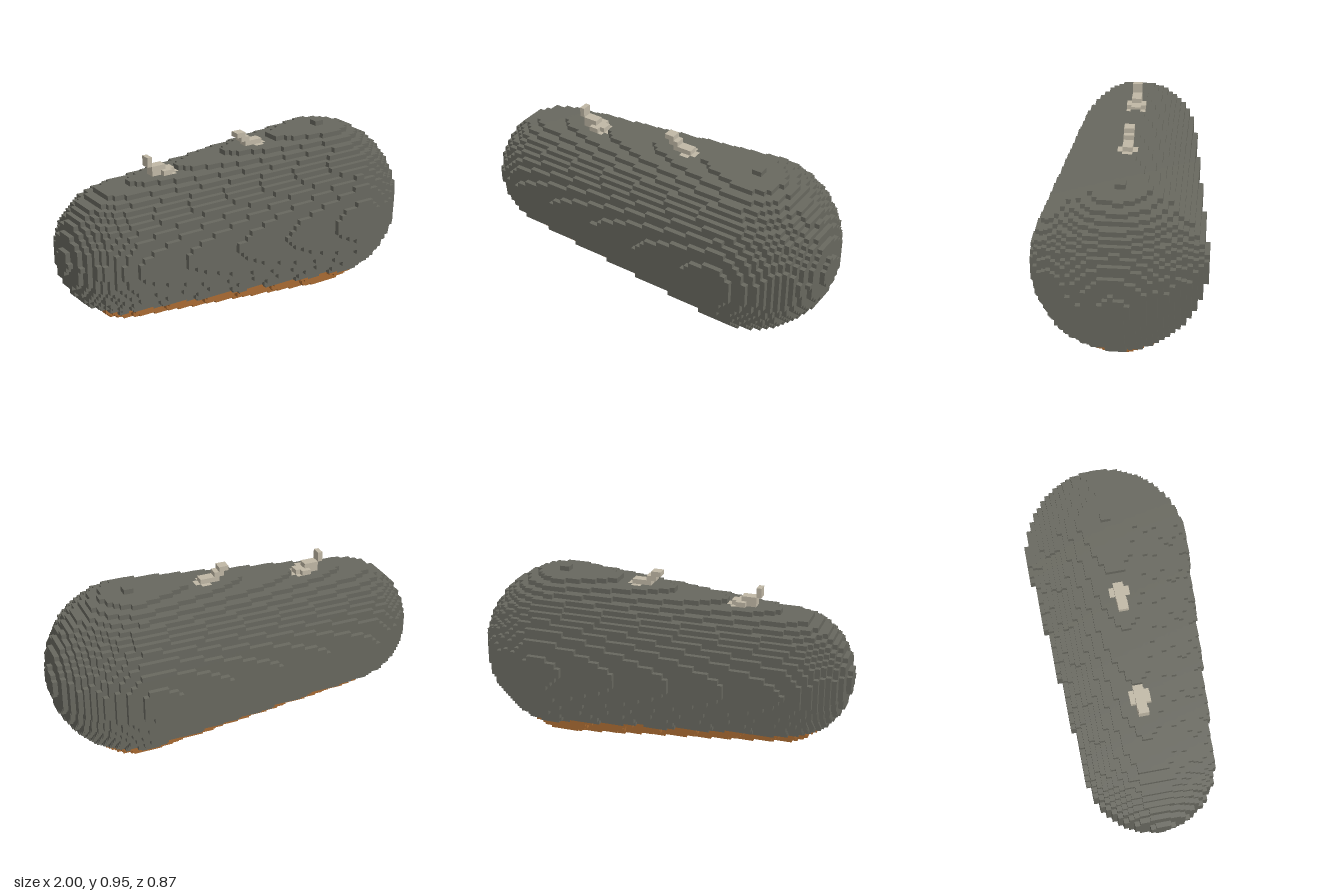
import * as THREE from 'three';

const NX = 78, NY = 37, NZ = 34, S = 2 / NX; // block grid and block size
const EMPTY = 0, HULL = 1, BELLY = 2, SPIKE = 3;

// Tapered capsule along x, with a belly that sags slightly downwards
const AXIS_Y = 0.476, AXIS_Z = 0.003;
const C0 = -0.667, R0 = 0.326, C1 = 0.559, R1 = 0.435;
const TAPER = (R1 - R0) / (C1 - C0);

function insideBody(x, y, z) {
  let dy = y - AXIS_Y;
  const axial = R0 + TAPER * (THREE.MathUtils.clamp(x, C0, C1) - C0);
  const sag = 0.85 * axial;
  if (-dy > sag) dy = -(sag + 0.55 * (-dy - sag));
  const d = Math.hypot(dy, z - AXIS_Z);
  const c = THREE.MathUtils.clamp(x + TAPER * d, C0, C1);
  return Math.hypot(x - c, d) < R0 + TAPER * (c - C0);
}

// Sloping, slightly ragged upper edge of the belly colour
const bellyLine = (x, z) => 0.165 - 0.05 * x + 0.012 * Math.sin(x * 25 + z * 34);

function buildBlocks() {
  const blocks = new Uint8Array(NX * NY * NZ);
  const index = (i, j, k) => (i * NY + j) * NZ + k;
  for (let i = 0; i < NX; i++)
    for (let j = 0; j < NY; j++)
      for (let k = 0; k < NZ; k++) {
        const x = (i + 0.5) * S - 1, y = (j + 0.5) * S, z = (k + 0.5 - NZ / 2) * S;
        if (insideBody(x, y, z)) blocks[index(i, j, k)] = y < bellyLine(x, z) ? BELLY : HULL;
      }
  // Back spikes as rows of blocks: first x, last x, first y, last y, half width
  const spikes = [
    [21, 25, 31, 31, 1], [22, 24, 31, 31, 2], [20, 24, 32, 32, 1], [22, 23, 32, 32, 2],
    [20, 22, 33, 33, 1], [19, 19, 34, 35, 1],
    [42, 46, 33, 33, 1], [44, 45, 33, 33, 2], [42, 45, 34, 34, 1],
    [41, 42, 35, 35, 1], [40, 41, 36, 36, 1],
  ];
  for (const [x0, x1, y0, y1, w] of spikes)
    for (let i = x0; i <= x1; i++)
      for (let j = y0; j <= y1; j++)
        for (let k = NZ / 2 - w; k < NZ / 2 + w; k++) blocks[index(i, j, k)] = SPIKE;

  return (i, j, k) =>
    i < 0 || j < 0 || k < 0 || i >= NX || j >= NY || k >= NZ ? EMPTY : blocks[index(i, j, k)];
}

// Exposed block faces of one kind, as flat quads
function blockSurface(block, kind) {
  const positions = [], normals = [], indices = [];
  const corners = [[0, 0], [1, 0], [1, 1], [0, 1]];
  const addFace = (cell, axis, side) => {
    const u = (axis + 1) % 3, v = (axis + 2) % 3, base = positions.length / 3;
    for (const [a, b] of corners) {
      const p = [...cell];
      p[axis] += side > 0 ? 1 : 0;
      p[u] += a;
      p[v] += b;
      positions.push(p[0] * S - 1, p[1] * S, (p[2] - NZ / 2) * S);
      const n = [0, 0, 0];
      n[axis] = side;
      normals.push(...n);
    }
    const order = side > 0 ? [0, 1, 2, 0, 2, 3] : [0, 2, 1, 0, 3, 2];
    indices.push(...order.map((o) => base + o));
  };
  for (let i = 0; i < NX; i++)
    for (let j = 0; j < NY; j++)
      for (let k = 0; k < NZ; k++) {
        if (block(i, j, k) !== kind) continue;
        for (let axis = 0; axis < 3; axis++)
          for (const side of [-1, 1]) {
            const next = [i, j, k];
            next[axis] += side;
            if (block(...next) === EMPTY) addFace([i, j, k], axis, side);
          }
      }
  const geometry = new THREE.BufferGeometry();
  geometry.setAttribute('position', new THREE.Float32BufferAttribute(positions, 3));
  geometry.setAttribute('normal', new THREE.Float32BufferAttribute(normals, 3));
  geometry.setIndex(indices);
  return geometry;
}

export function createModel() {
  const model = new THREE.Group();
  model.name = 'blockCapsule';
  const block = buildBlocks();
  const parts = [
    ['body', HULL, 'slateGrey', 0x68685f],
    ['belly', BELLY, 'rustOrange', 0xa86a32],
    ['backSpikes', SPIKE, 'paleBone', 0xc0b8a6],
  ];
  for (const [name, kind, colourName, color] of parts) {
    const material = new THREE.MeshStandardMaterial({ color });
    material.name = colourName;
    const mesh = new THREE.Mesh(blockSurface(block, kind), material);
    mesh.name = name;
    model.add(mesh);
  }
  return model;
}
